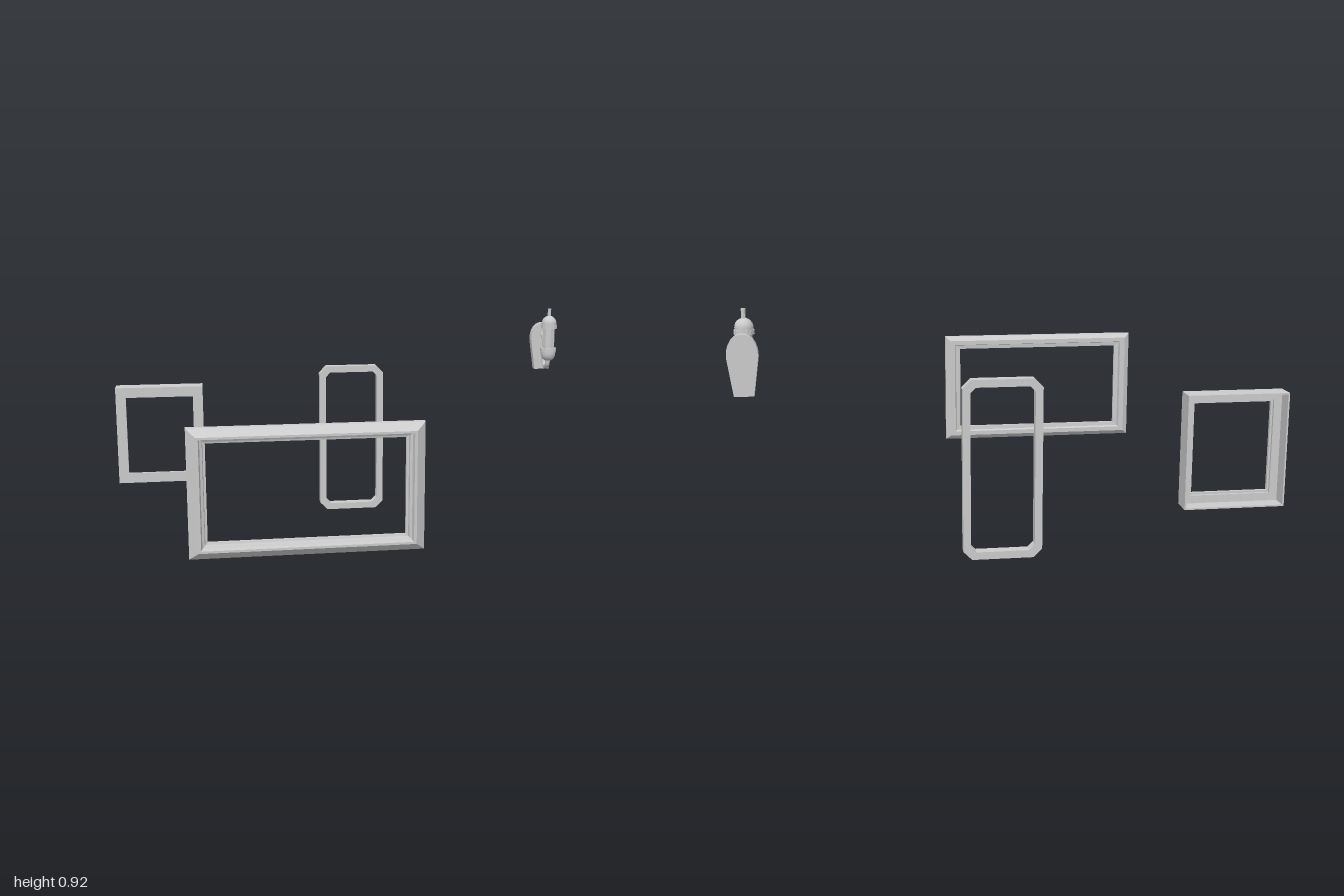
import * as THREE from 'three';

const flat = new THREE.MeshStandardMaterial({ color: 0xcccccc, flatShading: true, side: THREE.DoubleSide });
const smooth = new THREE.MeshStandardMaterial({ color: 0xcccccc });

function add(parent, name, geometry, material, x = 0, y = 0, z = 0) {
  const mesh = new THREE.Mesh(geometry, material);
  mesh.name = name;
  mesh.position.set(x, y, z);
  parent.add(mesh);
  return mesh;
}

// Mitred rectangular frame: sweeps a closed [inset, z] section round the border.
// Insets on the vertical and horizontal members may differ by kx, ky.
function mitredFrame(x0, x1, y0, y1, section, kx = 1, ky = 1) {
  const corner = (i, [d, z]) => {
    const right = i % 4 === 1 || i % 4 === 2, top = i % 4 >= 2;
    return [right ? x1 - d * kx : x0 + d * kx, top ? y1 - d * ky : y0 + d * ky, z];
  };
  const pos = [];
  for (let i = 0; i < 4; i++) {
    section.forEach((p, j) => {
      const q = section[(j + 1) % section.length];
      const a = corner(i, p), b = corner(i + 1, p), c = corner(i + 1, q), d = corner(i, q);
      pos.push(...a, ...b, ...c, ...a, ...c, ...d);
    });
  }
  const g = new THREE.BufferGeometry();
  g.setAttribute('position', new THREE.Float32BufferAttribute(pos, 3));
  g.computeVertexNormals();
  return g;
}

// Rectangle outline with cut corners
function cutRect(x0, x1, y0, y1, c) {
  return [[x0 + c, y0], [x1 - c, y0], [x1, y0 + c], [x1, y1 - c],
    [x1 - c, y1], [x0 + c, y1], [x0, y1 - c], [x0, y0 + c]].map(p => new THREE.Vector2(...p));
}

const lathe = (points, sides) =>
  new THREE.LatheGeometry(points.map(p => new THREE.Vector2(...p)), sides);

function wallLamp() {
  const lamp = new THREE.Group();
  lamp.name = 'wallLamp';
  lamp.position.x = 0.946;
  const zl = -0.473;

  // Back plate: tapered below, rounded above
  const plate = new THREE.Shape();
  plate.moveTo(-0.034, 0.632);
  plate.lineTo(0.034, 0.632);
  plate.lineTo(0.054, 0.77);
  plate.bezierCurveTo(0.054, 0.82, 0.03, 0.847, 0, 0.847);
  plate.bezierCurveTo(-0.03, 0.847, -0.054, 0.82, -0.054, 0.77);
  plate.closePath();
  add(lamp, 'backPlate', new THREE.ExtrudeGeometry(plate,
    { depth: 0.03, bevelEnabled: false, curveSegments: 6 }), flat, 0, 0, -0.59);

  // Swan-neck arm
  const path = new THREE.CatmullRomCurve3([
    [0.69, -0.473], [0.665, -0.48], [0.652, -0.503], [0.665, -0.525], [0.70, -0.532],
    [0.755, -0.532], [0.783, -0.541], [0.793, -0.565],
  ].map(([y, z]) => new THREE.Vector3(0, y, z)));
  add(lamp, 'arm', new THREE.TubeGeometry(path, 32, 0.011, 10), smooth);

  // Lantern
  add(lamp, 'lanternBody', new THREE.CylinderGeometry(0.028, 0.028, 0.1, 8), flat, 0, 0.787, zl);
  for (const y of [0.839, 0.734]) {
    add(lamp, 'collar', new THREE.CylinderGeometry(0.036, 0.036, 0.016, 16), flat, 0, y, zl);
  }
  add(lamp, 'dome', new THREE.SphereGeometry(0.033, 16, 6, 0, Math.PI * 2, 0, Math.PI / 2),
    smooth, 0, 0.855, zl);
  add(lamp, 'domeBase', new THREE.CylinderGeometry(0.033, 0.033, 0.01, 16), flat, 0, 0.85, zl);
  add(lamp, 'bowl', lathe([[0, 0.682], [0.014, 0.685], [0.025, 0.693], [0.031, 0.704],
    [0.033, 0.716], [0.033, 0.728]], 16), smooth, 0, 0, zl);
  add(lamp, 'finial', new THREE.CylinderGeometry(0.008, 0.008, 0.042, 8), flat, 0, 0.9, zl);
  return lamp;
}

export function createModel() {
  const model = new THREE.Group();
  model.name = 'framesAndLamp';

  // Deep box frame, open at the back behind a front rim
  add(model, 'boxFrame', mitredFrame(-1, -0.62, 0.165, 0.595, [
    [0, -0.608], [0, -0.528], [0.044, -0.528], [0.044, -0.54],
    [0.036, -0.54], [0.036, -0.55], [0.006, -0.55], [0.006, -0.608],
  ]), flat);

  // Tall frame with cut corners
  const outline = new THREE.Shape(cutRect(-0.095, 0.195, 0, 0.668, 0.032));
  outline.holes.push(new THREE.Path(cutRect(-0.067, 0.167, 0.028, 0.64, 0.02).reverse()));
  add(model, 'cutCornerFrame', new THREE.ExtrudeGeometry(outline,
    { depth: 0.04, bevelEnabled: false }), flat, 0, 0, -0.582);

  // Wide moulded frame
  add(model, 'mouldedFrame', mitredFrame(-0.692, 0.156, 0.165, 0.64, [
    [0, 0.556], [0, 0.578], [0.031, 0.607], [0.04, 0.607], [0.044, 0.588],
    [0.052, 0.584], [0.054, 0.572], [0.062, 0.57], [0.062, 0.558],
    [0.044, 0.556], [0.04, 0.541], [0.02, 0.541],
  ], 1.08, 0.92), flat);

  model.add(wallLamp());
  return model;
}
